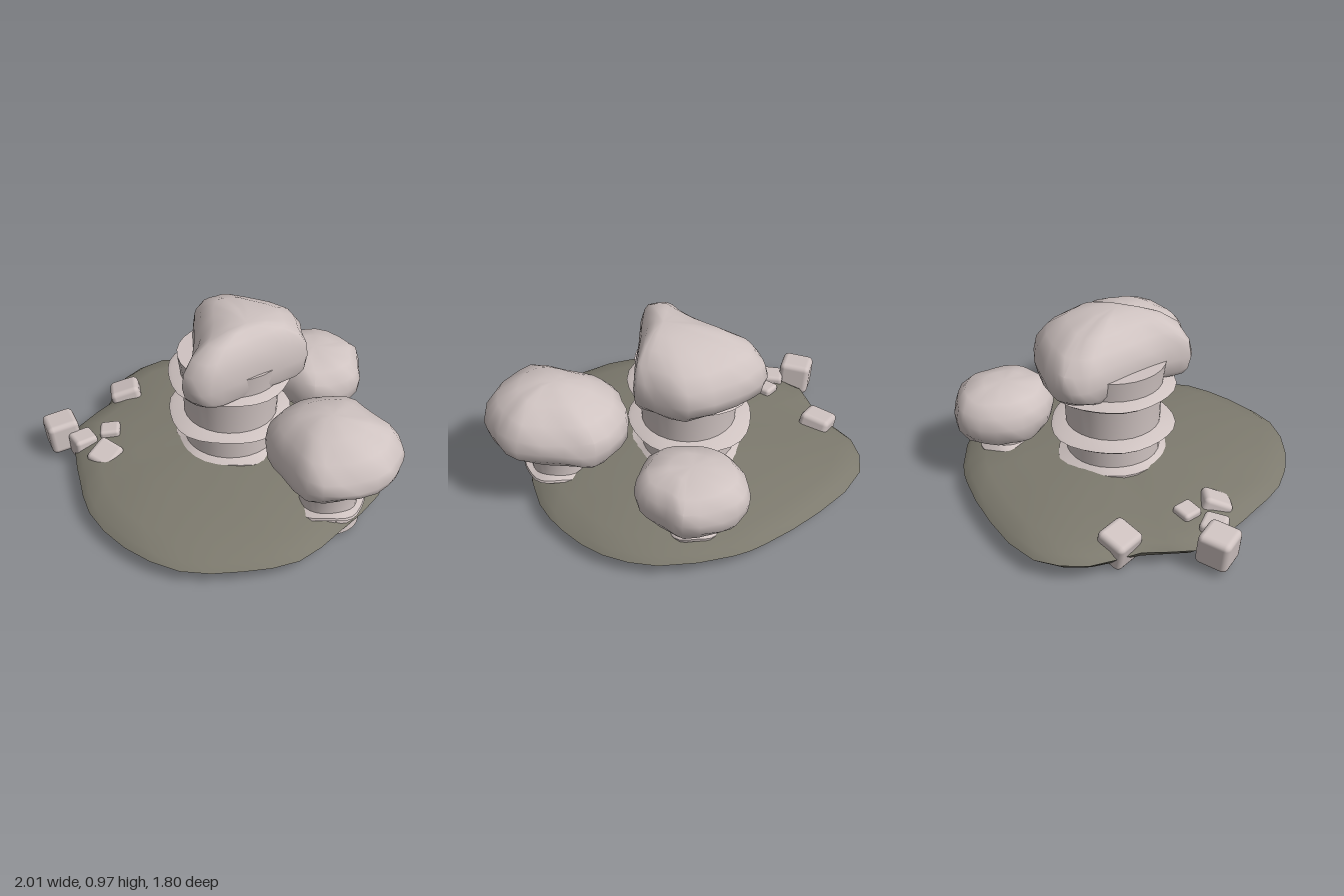
import * as THREE from 'three';
import { toCreasedNormals } from 'three/addons/utils/BufferGeometryUtils.js';
import { RoundedBoxGeometry } from 'three/addons/geometries/RoundedBoxGeometry.js';

const cream = new THREE.MeshStandardMaterial({ color: 0xcfc3c1 });
cream.name = 'pale mushroom';
const earth = new THREE.MeshStandardMaterial({ color: 0x7d7a6e });
earth.name = 'grey earth';

// Closed solid from a plan outline [x, z] and bottom-to-top rings [scale, y, slope along x]
function loft(outline, [cx, cz], rings, segments, lump) {
  const pts = outline.map(([x, z]) => new THREE.Vector3(x, 0, z)).reverse();
  const curve = new THREE.CatmullRomCurve3(pts, true, 'centripetal');
  const plan = curve.getPoints(segments).slice(0, segments);
  const pos = [], index = [];
  rings.forEach(([s, y, slope = 0], i) => plan.forEach((p, j) => {
    const wobble = s < 0.99 ? 1 + lump * Math.sin(j * 1.9 + i * 2.3) : 1;
    const dx = (p.x - cx) * s * wobble, dz = (p.z - cz) * s * wobble;
    pos.push(cx + dx, y + dx * slope + s * lump * 0.3 * Math.sin(j * 1.3 + i), cz + dz);
  }));
  for (let i = 0; i < rings.length - 1; i++) {
    for (let j = 0; j < segments; j++) {
      const a = i * segments + j, b = i * segments + (j + 1) % segments;
      if (rings[i][0] > 0) index.push(a, b, a + segments);
      if (rings[i + 1][0] > 0) index.push(b, b + segments, a + segments);
      else if (rings[i][0] === 0) continue;
    }
  }
  const geo = new THREE.BufferGeometry();
  geo.setAttribute('position', new THREE.Float32BufferAttribute(pos, 3));
  geo.setIndex(index);
  geo.computeVertexNormals();
  return toCreasedNormals(geo, 0.85);
}

// Lathed part from [radius, y] pairs, with its outer lip gently waved
function turned(profile, wave = 0, lipStart = 1) {
  const geo = new THREE.LatheGeometry(profile.map(([r, y]) => new THREE.Vector2(r, y)), 28);
  const p = geo.attributes.position;
  for (let i = 0; i < p.count; i++) {
    const r = Math.hypot(p.getX(i), p.getZ(i));
    if (r < lipStart) continue;
    const a = Math.atan2(p.getZ(i), p.getX(i));
    const k = 1 + wave * Math.sin(a * 5 + 1);
    p.setXYZ(i, p.getX(i) * k, p.getY(i) + wave * 0.25 * Math.sin(a * 3), p.getZ(i) * k);
  }
  geo.computeVertexNormals();
  return toCreasedNormals(geo, 0.7);
}

function add(parent, name, geo, material, x = 0, y = 0, z = 0) {
  const mesh = new THREE.Mesh(geo, material);
  mesh.name = name;
  mesh.position.set(x, y, z);
  parent.add(mesh);
  return mesh;
}

export function createModel() {
  const model = new THREE.Group();
  model.name = 'mushroomIsland';

  // Domed ground
  add(model, 'ground', loft(
    [[-1, -0.17], [-0.76, -0.48], [-0.46, -0.72], [-0.3, -0.8], [0.08, -0.87], [0.36, -0.79],
      [0.57, -0.62], [0.71, -0.42], [0.8, -0.08], [0.85, 0.23], [0.74, 0.5], [0.56, 0.75],
      [0.26, 0.88], [-0.07, 0.89], [-0.32, 0.8], [-0.52, 0.71], [-0.73, 0.57], [-0.81, 0.32], [-0.98, 0.1]],
    [-0.05, 0],
    [[0, 0.035], [0.86, 0.035], [0.94, 0.045], [1, 0.088, -0.012], [0.96, 0.118, -0.015],
      [0.85, 0.147, -0.01], [0.6, 0.178], [0.3, 0.2], [0, 0.21]], 38, 0.006), earth);

  // Large mushroom: open-topped look stem, two collars, skirt and lopsided cap
  const big = new THREE.Group();
  big.name = 'largeMushroom';
  model.add(big);
  add(big, 'largeStem', turned([[0, 0.1], [0.25, 0.1], [0.248, 0.3], [0.26, 0.58], [0.282, 0.74], [0, 0.74]]),
    cream, -0.07, 0, -0.02);
  add(big, 'largeSkirt', turned([[0.3, 0.165], [0.3, 0.195], [0.245, 0.22]], 0.04, 0.27), cream, -0.07, 0, -0.02);
  for (const y of [0.36, 0.6]) {
    add(big, 'collar', turned([[0.24, -0.03], [0.3, -0.018], [0.33, 0.004], [0.31, 0.014], [0.24, 0.03]], 0.02, 0.28),
      cream, -0.08, y, -0.02);
  }
  add(big, 'largeCap', loft(
    [[-0.47, -0.17], [-0.42, -0.25], [-0.32, -0.33], [-0.07, -0.45], [0.1, -0.38], [0.19, -0.33], [0.21, -0.28],
      [0.195, 0], [0.19, 0.22], [0.16, 0.33], [0.05, 0.37], [-0.03, 0.27], [-0.2, 0.13], [-0.4, -0.01], [-0.46, -0.08]],
    [0.06, -0.03],
    [[0, 0.66], [0.6, 0.64], [0.88, 0.628], [0.96, 0.66], [1, 0.73], [0.96, 0.81],
      [0.84, 0.88], [0.6, 0.935], [0.3, 0.965], [0, 0.975]], 30, 0.012), cream);

  // Smaller mushrooms
  const small = [
    {
      name: 'side', x: 0.62, z: -0.14,
      stem: [[0, 0.035], [0.165, 0.035], [0.15, 0.14], [0.157, 0.25], [0.175, 0.4]],
      skirt: [[0.17, 0.12], [0.19, 0.138], [0.185, 0.15], [0.14, 0.165]],
      outline: [[0.25, -0.23], [0.38, -0.44], [0.56, -0.47], [0.84, -0.44], [0.93, -0.33], [0.995, -0.2],
        [0.95, 0.02], [0.82, 0.17], [0.55, 0.14], [0.35, 0.07], [0.26, -0.07]],
      rings: [[0, 0.37], [0.5, 0.36, 0.12], [0.86, 0.355, 0.13], [0.97, 0.395, 0.11], [1, 0.45, 0.05],
        [0.96, 0.515, 0.03], [0.8, 0.59, 0.05], [0.5, 0.65, 0.06], [0.2, 0.678, 0.05], [0, 0.68]],
    },
    {
      name: 'back', x: -0.09, z: -0.62,
      stem: [[0, 0.1], [0.115, 0.1], [0.113, 0.2], [0.13, 0.33]],
      skirt: [[0.14, 0.135], [0.145, 0.155], [0.11, 0.185]],
      outline: [[-0.375, -0.7], [-0.3, -0.82], [-0.05, -0.9], [0.06, -0.83], [0.18, -0.72], [0.2, -0.6],
        [0.13, -0.43], [-0.03, -0.37], [-0.2, -0.39], [-0.33, -0.5]],
      rings: [[0, 0.31], [0.5, 0.3], [0.84, 0.262], [0.96, 0.31], [1, 0.375],
        [0.94, 0.44], [0.76, 0.495], [0.4, 0.52], [0, 0.525]],
    },
  ];
  for (const m of small) {
    const group = new THREE.Group();
    group.name = m.name + 'Mushroom';
    model.add(group);
    add(group, m.name + 'Stem', turned(m.stem), cream, m.x, 0, m.z);
    add(group, m.name + 'Skirt', turned(m.skirt, 0.04, 0.13), cream, m.x, 0, m.z);
    add(group, m.name + 'Cap', loft(m.outline, [m.x, m.z], m.rings, 26, 0.018), cream);
  }

  // Rounded stones on the front right edge: x, y, z, size, tilt, yaw, roll
  const stones = [
    [-0.79, 0.115, 0.2, 0.17, 0.3, -0.45, 0.25],
    [-0.71, 0.135, 0.68, 0.175, 0.12, -0.25, 0.08],
    [-0.56, 0.112, 0.63, 0.13, 0.05, -0.1, 0.05],
    [-0.38, 0.108, 0.59, 0.155, 0.4, 0.25, -0.25],
    [-0.515, 0.14, 0.48, 0.11, 0.15, -0.6, 0.1],
  ];
  for (const [x, y, z, s, rx, ry, rz] of stones) {
    add(model, 'stone', new RoundedBoxGeometry(s, s, s, 2, s * 0.17), cream, x, y, z).rotation.set(rx, ry, rz);
  }
  return model;
}
